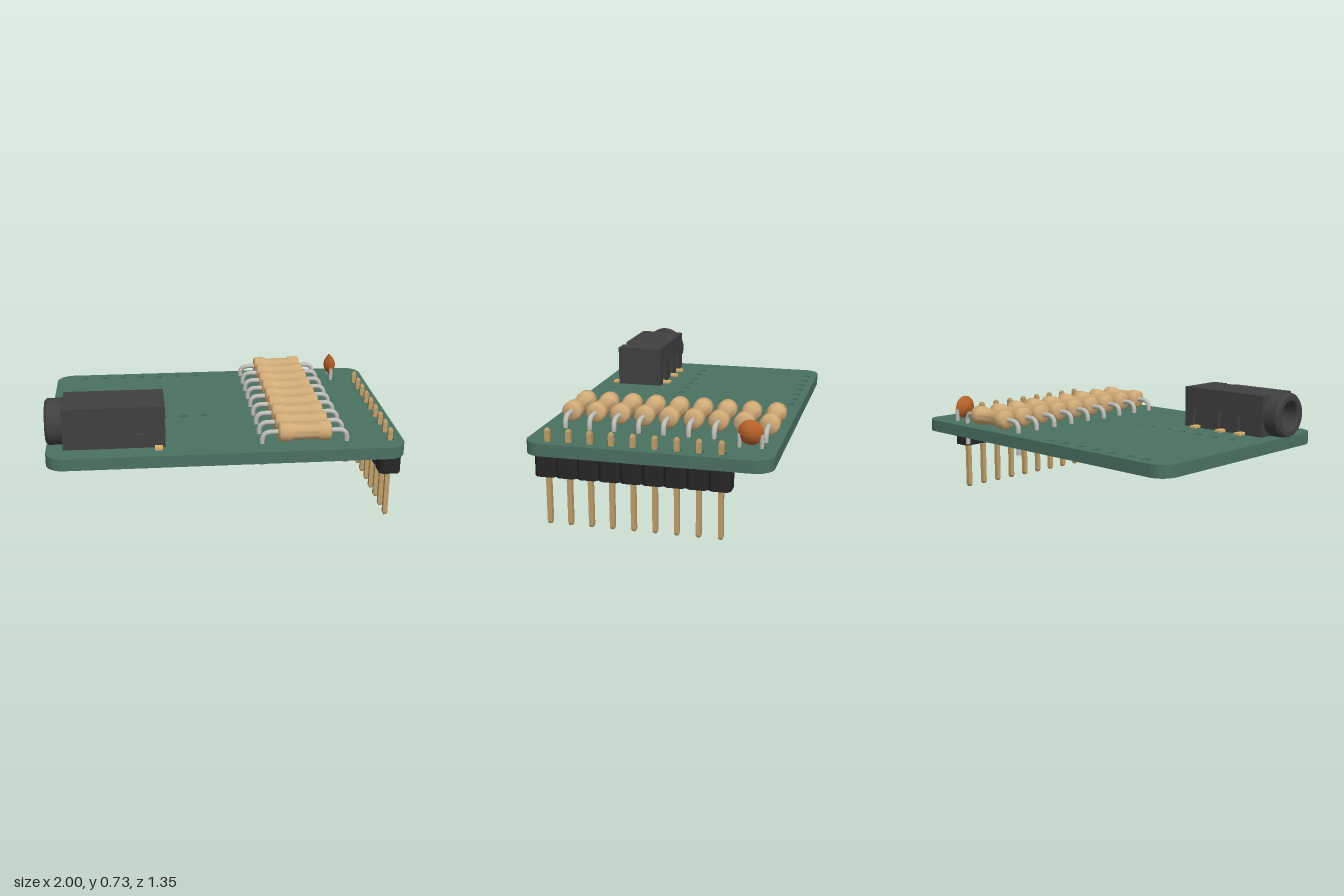
import * as THREE from 'three';
import { toCreasedNormals } from 'three/addons/utils/BufferGeometryUtils.js';

const mat = (color) => new THREE.MeshStandardMaterial({ color });
const V = (x, y, z) => new THREE.Vector3(x, y, z);
const BOARD_BOTTOM = 0.405, BOARD_TOP = 0.475;

function add(parent, name, geometry, material, x = 0, y = 0, z = 0) {
  const mesh = new THREE.Mesh(geometry, material);
  mesh.name = name;
  mesh.position.set(x, y, z);
  parent.add(mesh);
  return mesh;
}

function group(parent, name) {
  const g = new THREE.Group();
  g.name = name;
  parent.add(g);
  return g;
}

const row = (n, from, to) => Array.from({ length: n }, (_, i) => from + (to - from) * i / (n - 1));
const polygon = (pts) => new THREE.Shape(pts.map(([x, y]) => new THREE.Vector2(x, y)));
const extrude = (shape, depth, curveSegments = 16) =>
  new THREE.ExtrudeGeometry(shape, { depth, bevelEnabled: false, curveSegments });

// Turned profile of [radius, height] points, with sharp edges kept
const lathe = (pts, segments, crease = 0.6) => toCreasedNormals(
  new THREE.LatheGeometry(pts.map(([r, y]) => new THREE.Vector2(r, y)), segments), crease);

function circleHole(x, y, r) {
  const path = new THREE.Path();
  path.absarc(x, y, r, 0, Math.PI * 2, true);
  return path;
}

export function createModel() {
  const model = new THREE.Group();
  model.name = 'circuitBoardModule';

  const green = mat(0x4b7261), black = mat(0x262626), jackGrey = mat(0x404040);
  const gold = mat(0xbfa06a), contact = mat(0xd8b06c), tan = mat(0xd2ac78);
  const steel = mat(0xbebdb6), orange = mat(0xb8622a);

  const resistorZ = row(9, -0.588, 0.543);
  const pinZ = row(9, -0.40, 0.552);
  const pinX = 0.925, capX = 0.785, capZ = -0.525, jackZ = 0.415;
  const leadX = [0.2, 0.68];

  // Board with rounded corners and drilled holes
  const w = 1, d = 0.675, r = 0.1;
  const outline = new THREE.Shape();
  outline.absarc(w - r, d - r, r, 0, Math.PI / 2);
  outline.absarc(-w + r, d - r, r, Math.PI / 2, Math.PI);
  outline.absarc(-w + r, -d + r, r, Math.PI, Math.PI * 1.5);
  outline.absarc(w - r, -d + r, r, Math.PI * 1.5, Math.PI * 2);
  outline.closePath();
  const drill = (x, z, radius) => outline.holes.push(circleHole(x, -z, radius));
  for (const x of row(7, -0.82, -0.10)) {
    drill(x, -0.61, 0.022);
    drill(x, 0.105, 0.022);
  }
  for (const z of resistorZ) for (const x of leadX) drill(x, z, 0.019);
  for (const z of pinZ) drill(pinX, z, 0.025);
  for (const s of [-1, 1]) drill(capX, capZ + s * 0.063, 0.019);
  for (const x of [-0.82, -0.5]) drill(x, jackZ, 0.034);
  const boardGeo = extrude(outline, BOARD_TOP - BOARD_BOTTOM);
  boardGeo.rotateX(-Math.PI / 2);
  add(model, 'board', boardGeo, green, 0, BOARD_BOTTOM, 0);

  // Resistors: waisted body with one bent wire lead through it
  const bodyGeo = lathe([[0, -0.148], [0.046, -0.148], [0.056, -0.138], [0.056, -0.082], [0.047, -0.07],
    [0.047, 0.07], [0.056, 0.082], [0.056, 0.138], [0.046, 0.148], [0, 0.148]], 32, 0.9);
  bodyGeo.rotateZ(-Math.PI / 2);
  const [x0, x1] = leadX, top = 0.538, bottom = 0.342, bend = 0.05;
  const wire = new THREE.CurvePath();
  wire.add(new THREE.LineCurve3(V(x0, bottom, 0), V(x0, top - bend, 0)));
  wire.add(new THREE.QuadraticBezierCurve3(V(x0, top - bend, 0), V(x0, top, 0), V(x0 + bend, top, 0)));
  wire.add(new THREE.LineCurve3(V(x0 + bend, top, 0), V(x1 - bend, top, 0)));
  wire.add(new THREE.QuadraticBezierCurve3(V(x1 - bend, top, 0), V(x1, top, 0), V(x1, top - bend, 0)));
  wire.add(new THREE.LineCurve3(V(x1, top - bend, 0), V(x1, bottom, 0)));
  const wireGeo = new THREE.TubeGeometry(wire, 72, 0.0145, 10);
  const wireEnd = new THREE.CircleGeometry(0.0145, 10).rotateX(Math.PI / 2);
  const resistors = group(model, 'resistors');
  for (const z of resistorZ) {
    const resistor = group(resistors, 'resistor');
    resistor.position.z = z;
    add(resistor, 'resistorBody', bodyGeo, tan, 0.438, top, 0);
    add(resistor, 'resistorLead', wireGeo, steel);
    for (const x of leadX) add(resistor, 'leadEnd', wireEnd, steel, x, bottom, 0);
  }

  // Disc capacitor: lens body on two straight leads
  const capacitor = group(model, 'capacitor');
  const lensGeo = lathe([[0, -0.037], [0.02, -0.034], [0.04, -0.025], [0.057, -0.012], [0.069, 0],
    [0.057, 0.012], [0.04, 0.025], [0.02, 0.034], [0, 0.037]], 40, 0.7);
  lensGeo.rotateZ(-Math.PI / 2);
  add(capacitor, 'capacitorBody', lensGeo, orange, capX, 0.556, capZ);
  const capLeadGeo = new THREE.CylinderGeometry(0.012, 0.012, 0.16, 10);
  for (const s of [-1, 1]) add(capacitor, 'capacitorLead', capLeadGeo, steel, capX, 0.467, capZ + s * 0.06);

  // Pin header: chamfered housing segments with square tapered pins
  const header = group(model, 'pinHeader');
  const hx = 0.06, hz = 0.0595, c = 0.018;
  const segmentGeo = extrude(polygon([[hx, -hz + c], [hx, hz - c], [hx - c, hz], [-hx + c, hz],
    [-hx, hz - c], [-hx, -hz + c], [-hx + c, -hz], [hx - c, -hz]]), 0.12);
  segmentGeo.rotateX(-Math.PI / 2);
  const pr = 0.0135 * Math.SQRT2;
  const pinGeo = lathe([[0, 0], [pr * 0.6, 0], [pr, 0.013], [pr, 0.53], [pr * 0.6, 0.543], [0, 0.543]], 4, 0.3);
  pinGeo.rotateY(Math.PI / 4);
  for (const z of pinZ) {
    add(header, 'headerSegment', segmentGeo, black, pinX, 0.285, z);
    add(header, 'headerPin', pinGeo, gold, pinX, 0, z);
  }

  // Audio socket body: bored core, solid rear, notched side plates
  const socket = group(model, 'audioSocket');
  const left = -0.905, right = -0.34, low = BOARD_TOP, high = 0.714, skin = 0.02;
  const boreY = 0.594, half = 0.14 - skin, boreEnd = -0.45;
  const coreShape = polygon([[-half, low], [half, low], [half, high], [-half, high]]);
  coreShape.holes.push(circleHole(0, boreY, 0.08));
  const coreGeo = extrude(coreShape, boreEnd - left, 24);
  coreGeo.rotateY(Math.PI / 2);
  add(socket, 'socketCore', coreGeo, jackGrey, left, 0, jackZ);
  add(socket, 'socketRear', new THREE.BoxGeometry(right - boreEnd, high - low, half * 2), jackGrey,
    (right + boreEnd) / 2, (high + low) / 2, jackZ);
  const frontPlate = extrude(polygon([[left, low], [right, low], [right, high], [-0.435, high],
    [-0.435, 0.552], [-0.51, 0.552], [-0.51, high], [left, high]]), skin);
  add(socket, 'socketFrontPlate', frontPlate, jackGrey, 0, 0, jackZ + half);

  const contactX = [-0.76, -0.62, -0.43];
  const backOutline = [[left, low]];
  for (const x of contactX) {
    backOutline.push([x - 0.028, low], [x - 0.028, 0.59], [x + 0.028, 0.59], [x + 0.028, low]);
  }
  backOutline.push([right, low], [right, high], [left, high]);
  add(socket, 'socketBackPlate', extrude(polygon(backOutline), skin), jackGrey, 0, 0, jackZ - half - skin);

  // Socket barrel with a blind bore
  const barrelGeo = lathe([[0, 0.54], [0.078, 0.54], [0.078, 0.012], [0.09, 0], [0.118, 0],
    [0.131, 0.014], [0.131, 0.096], [0.079, 0.096]], 40, 0.5);
  barrelGeo.rotateZ(-Math.PI / 2);
  add(socket, 'socketBarrel', barrelGeo, jackGrey, -1, boreY, jackZ);

  // Solder contacts
  const contactGeo = new THREE.BoxGeometry(0.044, 0.013, 0.062);
  for (const x of contactX) add(socket, 'socketContact', contactGeo, contact, x, low + 0.0065, 0.263);
  add(socket, 'socketContact', contactGeo, contact, -0.378, low + 0.0065, 0.567);

  return model;
}
